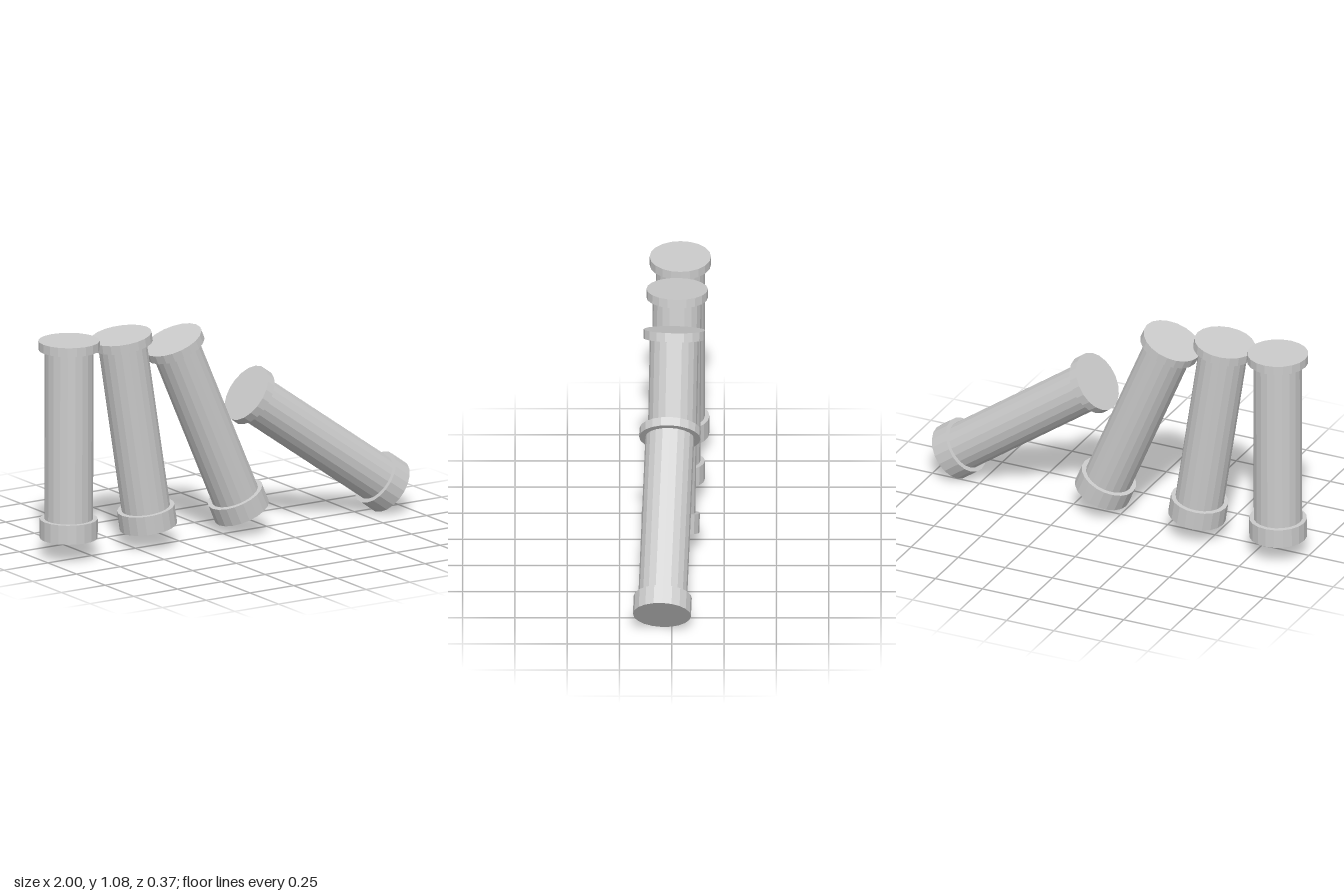
import * as THREE from 'three';

const SIDES = 20;
const LENGTH = 0.973;

// Bottom and top centre of each column, from upright to fallen
const COLUMNS = [
  { name: 'uprightColumn', bottom: [-0.855, 0.097, -0.04], top: [-0.853, 1.07, -0.04] },
  { name: 'tiltedColumn', bottom: [-0.414, 0.096, -0.018], top: [-0.565, 1.057, -0.025] },
  { name: 'leaningColumn', bottom: [0.102, 0.102, 0.007], top: [-0.279, 0.994, -0.012] },
  { name: 'fallingColumn', bottom: [0.918, 0.114, 0.047], top: [0.126, 0.682, 0.008] },
];

function createColumn({ name, bottom, top }) {
  const column = new THREE.Group();
  column.name = name;
  const material = new THREE.MeshStandardMaterial({ color: 0xcccccc, flatShading: true });

  const addDrum = (part, radius, from, to) => {
    const mesh = new THREE.Mesh(new THREE.CylinderGeometry(radius, radius, to - from, SIDES), material);
    mesh.position.y = (from + to) / 2;
    mesh.name = part;
    column.add(mesh);
  };
  addDrum('base', 0.139, 0, 0.094);
  addDrum('shaft', 0.117, 0.08, LENGTH - 0.03);
  addDrum('capital', 0.147, LENGTH - 0.044, LENGTH);

  // Stand the column on its bottom point and lean it toward its top point
  const start = new THREE.Vector3(...bottom);
  const axis = new THREE.Vector3(...top).sub(start).normalize();
  column.position.copy(start);
  column.quaternion.setFromUnitVectors(new THREE.Vector3(0, 1, 0), axis);
  return column;
}

export function createModel() {
  const model = new THREE.Group();
  model.name = 'topplingColumns';
  for (const spec of COLUMNS) model.add(createColumn(spec));
  return model;
}
